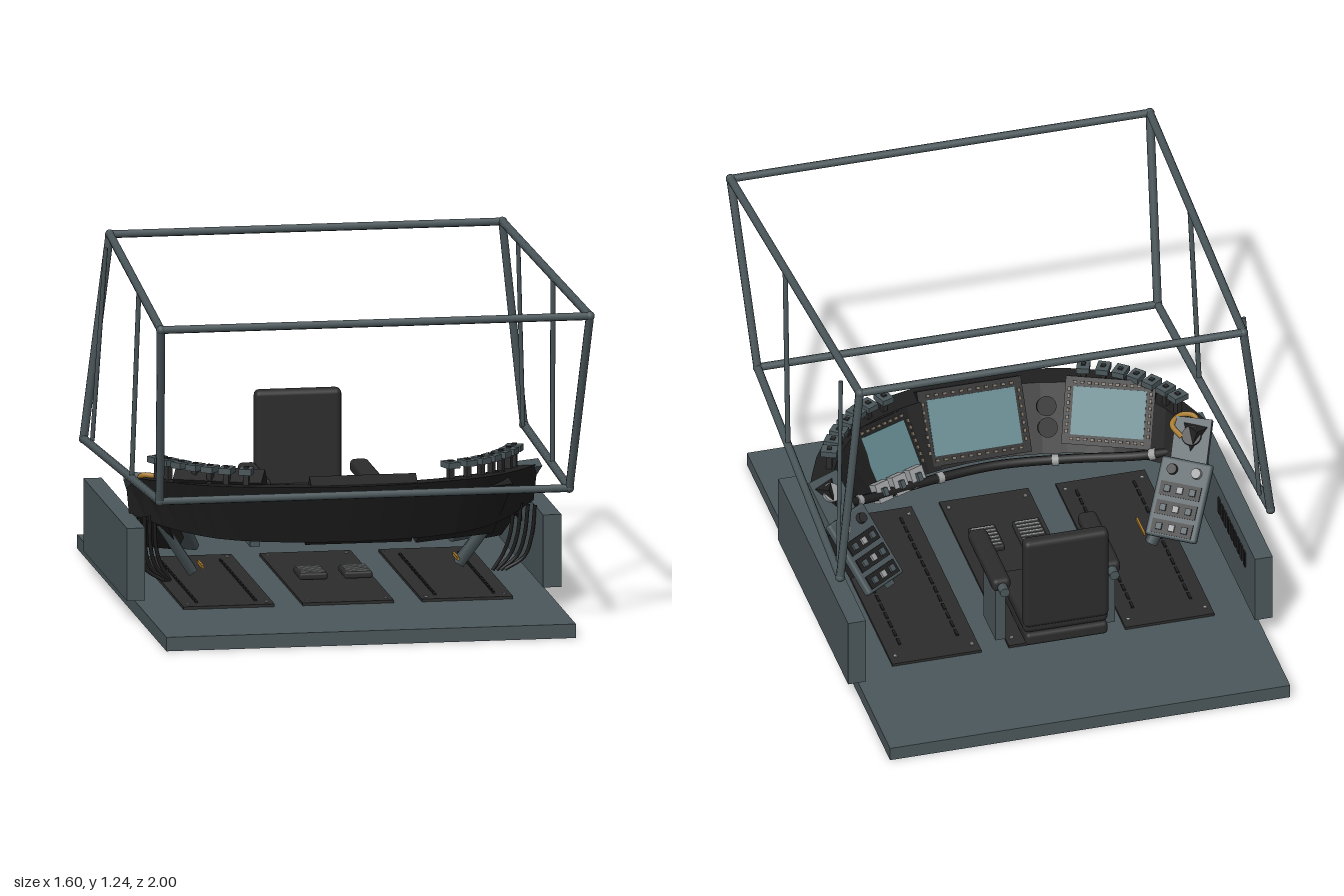
import * as THREE from 'three';
import { RoundedBoxGeometry } from 'three/addons/geometries/RoundedBoxGeometry.js';

const paint = (name, color) => {
  const m = new THREE.MeshStandardMaterial({ color });
  m.name = name;
  return m;
};
const V = (x, y, z) => new THREE.Vector3(x, y, z);

export function createModel() {
  const steel = paint('slate steel', 0x4b575b);
  const dark = paint('dark rubber', 0x2c2c2d);
  const black = paint('black shell', 0x1f1f20);
  const glass = paint('teal screen', 0x5f8389);
  const silver = paint('silver', 0x9b9d9e);
  const brass = paint('yellow handle', 0xa87a2c);
  const bezel = paint('bezel button', 0x75695c);
  const root = new THREE.Group();
  root.name = 'cockpit';

  const add = (name, geo, mat, pos = [0, 0, 0], rot = [0, 0, 0], parent = root) => {
    const m = new THREE.Mesh(geo, mat);
    m.name = name;
    m.position.set(...pos);
    m.rotation.set(rot[0], rot[1], rot[2], 'YXZ');
    parent.add(m);
    return m;
  };
  const box = (name, mat, size, pos, rot, parent) =>
    add(name, new THREE.BoxGeometry(...size), mat, pos, rot, parent);
  const soft = (name, mat, size, r, pos, rot, parent) =>
    add(name, new RoundedBoxGeometry(...size, 2, r), mat, pos, rot, parent);
  const rod = (name, mat, a, b, r, sides = 8) => {
    const d = b.clone().sub(a);
    const m = add(name, new THREE.CylinderGeometry(r, r, d.length(), sides), mat);
    m.position.copy(a).addScaledVector(d, 0.5);
    m.quaternion.setFromUnitVectors(V(0, 1, 0), d.normalize());
    return m;
  };
  const tube = (name, mat, pts, r, seg = 24) =>
    add(name, new THREE.TubeGeometry(new THREE.CatmullRomCurve3(pts), seg, r, 8), mat);
  const group = (name, pos, rot) => {
    const g = new THREE.Group();
    g.name = name;
    g.position.set(...pos);
    g.rotation.set(rot[0], rot[1], 0, 'YXZ');
    root.add(g);
    return g;
  };

  // Floor with three studded mats
  box('floor', steel, [1.46, 0.05, 1.89], [0, 0.025, -0.055]);
  for (const x of [-0.425, 0, 0.425]) {
    box('floorMat', dark, [0.325, 0.01, 0.92], [x, 0.055, -0.055]);
    for (const sx of [-1, 1]) {
      for (const z of [-0.47, 0.36]) box('matScrew', silver, [0.012, 0.004, 0.012], [x + sx * 0.14, 0.062, z]);
      if (x) for (let i = 0; i < 14; i++)
        box('matStud', black, [0.009, 0.006, 0.035], [x + sx * 0.105, 0.063, -0.39 + i * 0.055]);
    }
  }

  // Open tubular canopy frame
  const corner = {
    topFront: s => V(s * 0.765, 1.17, 0.98), topRear: s => V(s * 0.7, 1.225, -0.49),
    lowFront: s => V(s * 0.73, 0.51, 0.75), lowRear: s => V(s * 0.785, 0.485, -0.54),
  };
  for (const k of ['topFront', 'topRear', 'lowFront'])
    rod('frameCrossBar', steel, corner[k](-1), corner[k](1), 0.014);
  for (const s of [-1, 1]) {
    for (const [a, b] of [['topFront', 'topRear'], ['lowFront', 'lowRear'], ['topFront', 'lowFront'], ['topRear', 'lowRear']])
      rod('frameSideBar', steel, corner[a](s), corner[b](s), 0.015);
    for (const k in corner)
      add('frameJoint', new THREE.SphereGeometry(0.017, 10, 8), steel, corner[k](s).toArray());
    rod('framePost', steel, V(s * 0.738, 1.195, 0.355), V(s * 0.75, 0.51, 0.275), 0.009);
    rod('rearThinPost', steel, V(s * 0.735, 1.2, -0.368), V(s * 0.768, 0.495, -0.455), 0.008);
  }

  // Curved dashboard: a leaning four-cornered section swept along the rim
  const rim = new THREE.CatmullRomCurve3([
    [-0.735, 0.05], [-0.645, 0.24], [-0.5, 0.4], [-0.28, 0.49], [0, 0.525],
    [0.28, 0.49], [0.5, 0.4], [0.645, 0.24], [0.735, 0.05],
  ].map(([x, z]) => V(x, 0, z)));
  const lerp = THREE.MathUtils.lerp;
  const section = t => {
    const p = rim.getPoint(t), d = rim.getTangent(t);
    const inward = V(d.z, 0, -d.x);
    const e = Math.abs(2 * t - 1) ** 3;
    return [[0, 0, 0.495, 0.46], [0.09, 0.015, 0.28, 0.33], [0.22, 0.13, 0.28, 0.33], [0.08, 0.07, 0.49, 0.46]]
      .map(([i0, i1, y0, y1]) => p.clone().addScaledVector(inward, lerp(i0, i1, e)).setY(lerp(y0, y1, e)));
  };
  const verts = [];
  const quad = (a, b, c, d) => [a, b, c, a, c, d].forEach(v => verts.push(v.x, v.y, v.z));
  const N = 20;
  for (let i = 0; i < N; i++) {
    const A = section(i / N), B = section((i + 1) / N);
    for (let k = 0; k < 4; k++) quad(A[k], A[(k + 1) % 4], B[(k + 1) % 4], B[k]);
    if (i === 0) quad(A[3], A[2], A[1], A[0]);
    if (i === N - 1) quad(B[0], B[1], B[2], B[3]);
  }
  const shell = new THREE.BufferGeometry();
  shell.setAttribute('position', new THREE.Float32BufferAttribute(verts, 3));
  shell.computeVertexNormals();
  add('dashboard', shell, black);

  // Screens in dark housings with small buttons round the edge
  const screen = (w, h, pos, yaw) => {
    const g = group('screen', pos, [-0.59, Math.PI + yaw]);
    box('screenHousing', black, [w + 0.03, h + 0.04, 0.07], [0, 0, -0.03], undefined, g);
    box('screenGlass', glass, [w - 0.03, h - 0.03, 0.006], [0, 0, 0.007], undefined, g);
    for (const s of [-1, 1]) {
      for (let i = -5; i <= 5; i++)
        box('bezelButton', bezel, [0.014, 0.01, 0.008], [i * w / 11.5, s * h / 2, 0.008], undefined, g);
      for (let i = -3; i <= 3; i++)
        box('bezelButton', bezel, [0.01, 0.014, 0.008], [s * w / 2, i * h / 8, 0.008], undefined, g);
    }
  };
  screen(0.35, 0.23, [0.045, 0.405, 0.37], 0);
  screen(0.29, 0.2, [-0.415, 0.435, 0.255], -0.4);
  screen(0.29, 0.2, [0.405, 0.385, 0.285], 0.4);

  // Round knobs on the dashboard face
  for (const y of [0.36, 0.44])
    add('dashKnob', new THREE.CylinderGeometry(0.032, 0.036, 0.03, 16), dark, [-0.21, y, 0.25 + y * 0.22], [-0.98 + Math.PI, 0, 0]);

  // Hand rail with silver collars
  const rail = [[-0.62, 0.36, 0.07], [-0.5, 0.32, 0.13], [-0.25, 0.295, 0.215], [0, 0.29, 0.25],
    [0.25, 0.295, 0.215], [0.5, 0.32, 0.13], [0.62, 0.36, 0.07]].map(p => V(...p));
  tube('handRail', black, rail, 0.017, 40);
  const railCurve = new THREE.CatmullRomCurve3(rail);
  for (const t of [0.12, 0.36, 0.64, 0.88]) {
    const p = railCurve.getPoint(t), d = railCurve.getTangent(t).multiplyScalar(0.012);
    rod('railCollar', silver, p.clone().sub(d), p.clone().add(d), 0.021, 12);
  }

  // Silver switch boxes on the left side of the dashboard
  for (let i = 0; i < 3; i++) {
    const g = group('switchBox', [0.3 + i * 0.07, 0.315, 0.222 - i * 0.028], [-0.5, Math.PI + 0.4]);
    box('switchBody', silver, [0.058, 0.07, 0.04], [0, 0, 0], undefined, g);
    box('switchToggle', steel, [0.018, 0.03, 0.02], [0, 0, 0.025], undefined, g);
  }

  for (const s of [-1, 1]) {
    // Raised key blocks along the rim
    for (let i = 0; i < 7; i++) {
      const t = 0.5 + s * (0.18 + i * 0.041);
      const p = rim.getPoint(t), d = rim.getTangent(t);
      p.add(V(d.z, 0, -d.x).multiplyScalar(0.055));
      const yaw = Math.atan2(-d.z, d.x);
      box('keyBlock', steel, [0.046, 0.022, 0.058], [p.x, 0.54, p.z], [0, yaw, 0]);
      box('keyStem', dark, [0.02, 0.08, 0.02], [p.x, 0.5, p.z], [0, yaw, 0]);
      box('keyCap', dark, [0.016, 0.006, 0.016], [p.x, 0.553, p.z], [0, yaw, 0]);
    }

    // End panel with a dial
    const end = group('endPanel', [s * 0.655, 0.4, 0.035], [-0.75, Math.PI + s * 0.45]);
    box('endPlate', steel, [0.13, 0.19, 0.035], [0, 0, 0], undefined, end);
    add('endDial', new THREE.CylinderGeometry(0.034, 0.036, 0.012, 20), s > 0 ? silver : dark, [0, 0.03, 0.022], [Math.PI / 2, 0, 0], end);

    // Tilted side console with rows of rockers
    const con = group('sideConsole', [s * 0.575, 0.27, -0.1], [-0.72, Math.PI + s * 0.607]);
    soft('consolePlate', steel, [0.19, 0.285, 0.03], 0.01, [0, 0, 0], undefined, con);
    box('consoleBack', black, [0.13, 0.17, 0.06], [0, 0.02, -0.042], undefined, con);
    for (let r = 0; r < 3; r++) {
      box('rockerStrip', black, [0.15, 0.05, 0.006], [0, 0.03 - r * 0.068, 0.017], undefined, con);
      for (let c = -1; c <= 1; c++)
        box('rocker', c ? steel : silver, [0.022, 0.024, 0.014], [c * 0.047, 0.03 - r * 0.068, 0.022], undefined, con);
    }
    for (const x of [-0.045, 0.045])
      add('consoleKnob', new THREE.CylinderGeometry(0.018, 0.02, 0.02, 14), x * s > 0 ? dark : silver, [x, 0.1, 0.022], [Math.PI / 2, 0, 0], con);
    const strut = rod('consoleStrut', steel, V(s * 0.475, 0.09, -0.08), V(s * 0.6, 0.28, -0.02), 0.025, 4);
    strut.rotateY(Math.PI / 4);
    box('consolePull', brass, [0.008, 0.012, 0.1], [s * 0.455, 0.125, -0.02]);

    // Cable bundle under each end of the dashboard
    for (let i = 0; i < 4; i++) {
      const o = i * 0.022, z = 0.08 + i * 0.02;
      tube('cable', black, [V(s * (0.64 + o), 0.34, z + 0.03), V(s * (0.632 + o), 0.22, z),
        V(s * (0.61 + o), 0.145, z - 0.02), V(s * (0.52 + o * 1.6), 0.085, z - 0.03)].map((p, k) =>
        k === 3 ? V(s * (0.575 + o * 0.5), 0.085 + o * 0.2, p.z) : p), 0.007);
    }

    // Side wall with inner vent slots
    box('sideWall', steel, [0.065, 0.26, 0.925], [s * 0.742, 0.2, -0.145]);
    for (let i = 0; i < 9; i++)
      box('ventSlot', black, [0.008, 0.06, 0.025], [s * 0.708, 0.25, -0.48 + i * 0.042]);

    // Armrest on a flat support
    soft('armrest', dark, [0.068, 0.05, 0.34], 0.018, [s * 0.2, 0.355, -0.395]);
    box('armrestSupport', steel, [0.036, 0.23, 0.16], [s * 0.2, 0.225, -0.46]);
    rod('armrestPivot', steel, V(s * 0.2, 0.35, -0.6), V(s * 0.2, 0.35, -0.55), 0.018, 12);

    // Pedal with silver treads
    soft('pedal', dark, [0.1, 0.025, 0.14], 0.008, [s * 0.08, 0.102, 0.08]);
    for (let i = 0; i < 6; i++)
      box('pedalTread', silver, [0.085, 0.005, 0.01], [s * 0.08, 0.1155, 0.027 + i * 0.021]);
  }

  // Yellow pull handle on the right end panel
  tube('pullHandle', brass, [V(-0.69, 0.43, 0.06), V(-0.685, 0.475, 0.1), V(-0.64, 0.475, 0.12),
    V(-0.6, 0.46, 0.09), V(-0.625, 0.43, 0.05)], 0.01);

  // Pilot seat
  soft('seatBase', dark, [0.3, 0.05, 0.34], 0.015, [0, 0.2, -0.53]);
  soft('seatCushion', dark, [0.31, 0.06, 0.33], 0.022, [0, 0.25, -0.525]);
  soft('seatBack', dark, [0.31, 0.365, 0.055], 0.02, [0, 0.432, -0.672]);
  return root;
}
